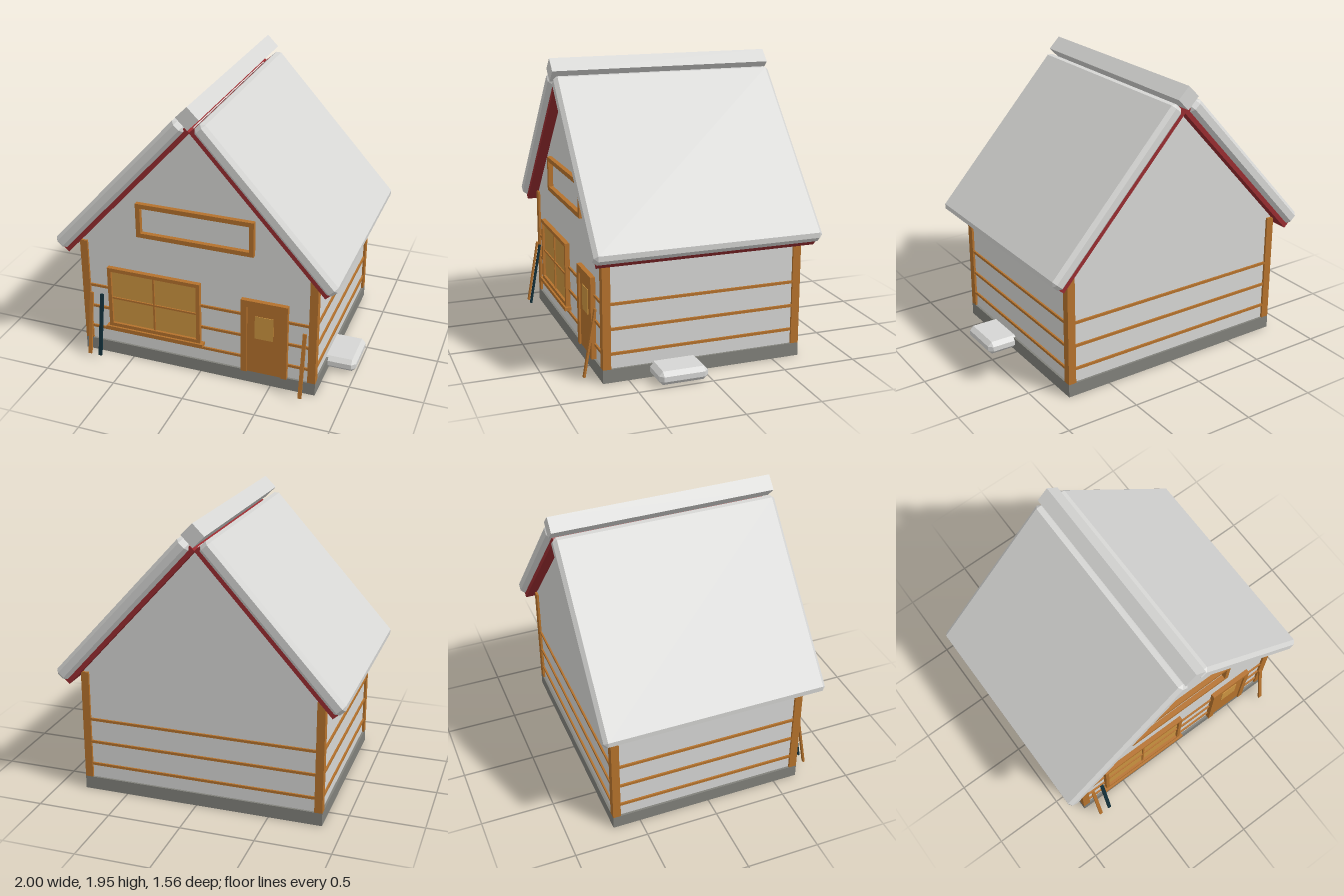
import * as THREE from 'three';
import { ConvexGeometry } from 'three/addons/geometries/ConvexGeometry.js';

const mat = (name, color) => {
  const m = new THREE.MeshStandardMaterial({ color });
  m.name = name;
  return m;
};

// box with all twelve edges chamfered by b
function chamferBox(w, h, d, b) {
  const pts = [];
  const [x, y, z] = [w / 2, h / 2, d / 2];
  for (const sx of [-1, 1]) for (const sy of [-1, 1]) for (const sz of [-1, 1]) {
    pts.push(
      new THREE.Vector3(sx * x, sy * (y - b), sz * (z - b)),
      new THREE.Vector3(sx * (x - b), sy * y, sz * (z - b)),
      new THREE.Vector3(sx * (x - b), sy * (y - b), sz * z));
  }
  return new ConvexGeometry(pts);
}

// rectangular frame given by its outer edges and border width
function frameGeometry(x0, x1, y0, y1, border, depth) {
  const rect = (P, a, b, c, d) => new P([
    new THREE.Vector2(a, c), new THREE.Vector2(b, c), new THREE.Vector2(b, d), new THREE.Vector2(a, d)]);
  const shape = rect(THREE.Shape, x0, x1, y0, y1);
  shape.holes.push(rect(THREE.Path, x0 + border, x1 - border, y0 + border, y1 - border));
  return new THREE.ExtrudeGeometry(shape, { depth, bevelEnabled: false });
}

export function createModel() {
  const plaster = mat('plaster', 0xd6d6d4);
  const stone = mat('stone', 0x80807a);
  const wood = mat('wood', 0xb5722c);
  const pane = mat('pane', 0xcc9440);
  const red = mat('redTrim', 0x982c30);
  const dark = mat('darkPaint', 0x12303a);

  const model = new THREE.Group();
  model.name = 'cottage';
  const house = new THREE.Group();
  house.name = 'house';
  house.position.set(-0.027, 0, -0.01);
  model.add(house);

  const add = (name, geometry, material, x = 0, y = 0, z = 0, parent = house) => {
    const m = new THREE.Mesh(geometry, material);
    m.name = name;
    m.position.set(x, y, z);
    parent.add(m);
    return m;
  };
  // box from its limits on each axis
  const block = (name, material, x0, x1, y0, y1, z0, z1) =>
    add(name, new THREE.BoxGeometry(x1 - x0, y1 - y0, z1 - z0), material,
      (x0 + x1) / 2, (y0 + y1) / 2, (z0 + z1) / 2);

  const HX = 0.835, HZ = 0.68, WX = 0.82, WZ = 0.665;

  // foundation and gabled wall body
  block('foundation', stone, -HX, HX, 0, 0.09, -HZ, HZ);
  const gable = new THREE.Shape([
    new THREE.Vector2(-WX, 0.09), new THREE.Vector2(WX, 0.09), new THREE.Vector2(WX, 0.88),
    new THREE.Vector2(0, 1.785), new THREE.Vector2(-WX, 0.88)]);
  add('walls', new THREE.ExtrudeGeometry(gable, { depth: 2 * WZ, bevelEnabled: false }), plaster, 0, 0, -WZ);

  // corner posts
  for (const sx of [-1, 1]) for (const sz of [-1, 1]) {
    add('cornerPost', new THREE.BoxGeometry(0.054, 0.77, 0.054), wood,
      sx * (HX - 0.027), 0.475, sz * (HZ - 0.027));
  }

  // rails on all four sides
  for (const y of [0.19, 0.355, 0.52]) for (const s of [-1, 1]) {
    add('endRail', new THREE.BoxGeometry(1.6, 0.018, 0.02), wood, 0, y, s * (WZ + 0.002));
    add('sideRail', new THREE.BoxGeometry(0.02, 0.018, 1.28), wood, s * (WX + 0.002), y, 0);
  }

  // roof halves: red underboard with a chamfered slab on top
  const slope = Math.atan2(0.741, 0.672);
  const slabGeometry = chamferBox(1.338, 0.098, 1.53, 0.025);
  for (const side of [0, 1]) {
    const half = new THREE.Group();
    half.name = side ? 'roofHalfRight' : 'roofHalfLeft';
    half.rotation.y = side * Math.PI;
    const tilt = new THREE.Group();
    tilt.name = 'roofSlope';
    tilt.rotation.z = -slope;
    half.add(tilt);
    house.add(half);
    add('roofUnderboard', new THREE.BoxGeometry(1.333, 0.046, 1.47), red, -0.6485, 1.212, 0, tilt);
    add('roofSlab', slabGeometry, plaster, -0.646, 1.269, 0, tilt);
  }

  // ridge beam set on its edge
  add('ridgeBeam', new THREE.BoxGeometry(0.109, 0.109, 1.533), plaster, 0, 1.876, 0).rotation.z = Math.PI / 4;

  // large front window with cross bars and sill
  add('windowFrame', frameGeometry(-0.636, 0.032, 0.235, 0.69, 0.026, 0.033), wood, 0, 0, WZ);
  block('windowPane', pane, -0.61, 0.006, 0.261, 0.664, WZ + 0.006, WZ + 0.015);
  block('windowBarVertical', wood, -0.309, -0.296, 0.261, 0.664, WZ, WZ + 0.025);
  block('windowBarHorizontal', wood, -0.61, 0.006, 0.449, 0.462, WZ, WZ + 0.024);
  block('windowSill', wood, -0.658, 0.054, 0.212, 0.236, WZ, WZ + 0.047);

  // attic frame
  add('atticFrame', frameGeometry(-0.406, 0.407, 0.967, 1.21, 0.031, 0.033), wood, 0, 0, WZ);

  // door with surround and small window
  const doorShape = new THREE.Shape([
    [0.321, 0.09], [0.364, 0.09], [0.364, 0.595], [0.605, 0.595], [0.605, 0.09],
    [0.642, 0.09], [0.642, 0.643], [0.321, 0.643]].map(([x, y]) => new THREE.Vector2(x, y)));
  add('doorFrame', new THREE.ExtrudeGeometry(doorShape, { depth: 0.033, bevelEnabled: false }), wood, 0, 0, WZ);
  block('door', wood, 0.364, 0.605, 0.09, 0.595, WZ, WZ + 0.021);
  block('doorWindow', pane, 0.417, 0.544, 0.36, 0.53, WZ + 0.017, WZ + 0.025);

  // poles leaning against the front
  for (const [x, m] of [[-0.757, wood], [-0.68, dark], [0.762, wood]]) {
    add('leaningPole', new THREE.BoxGeometry(0.025, 0.455, 0.013), m, x, 0.255, 0.744).rotation.x = -0.175;
  }

  // chamfered stone at the side
  add('sideStone', chamferBox(0.25, 0.09, 0.33, 0.028), plaster, 0.902, 0.056, 0.203);

  return model;
}
